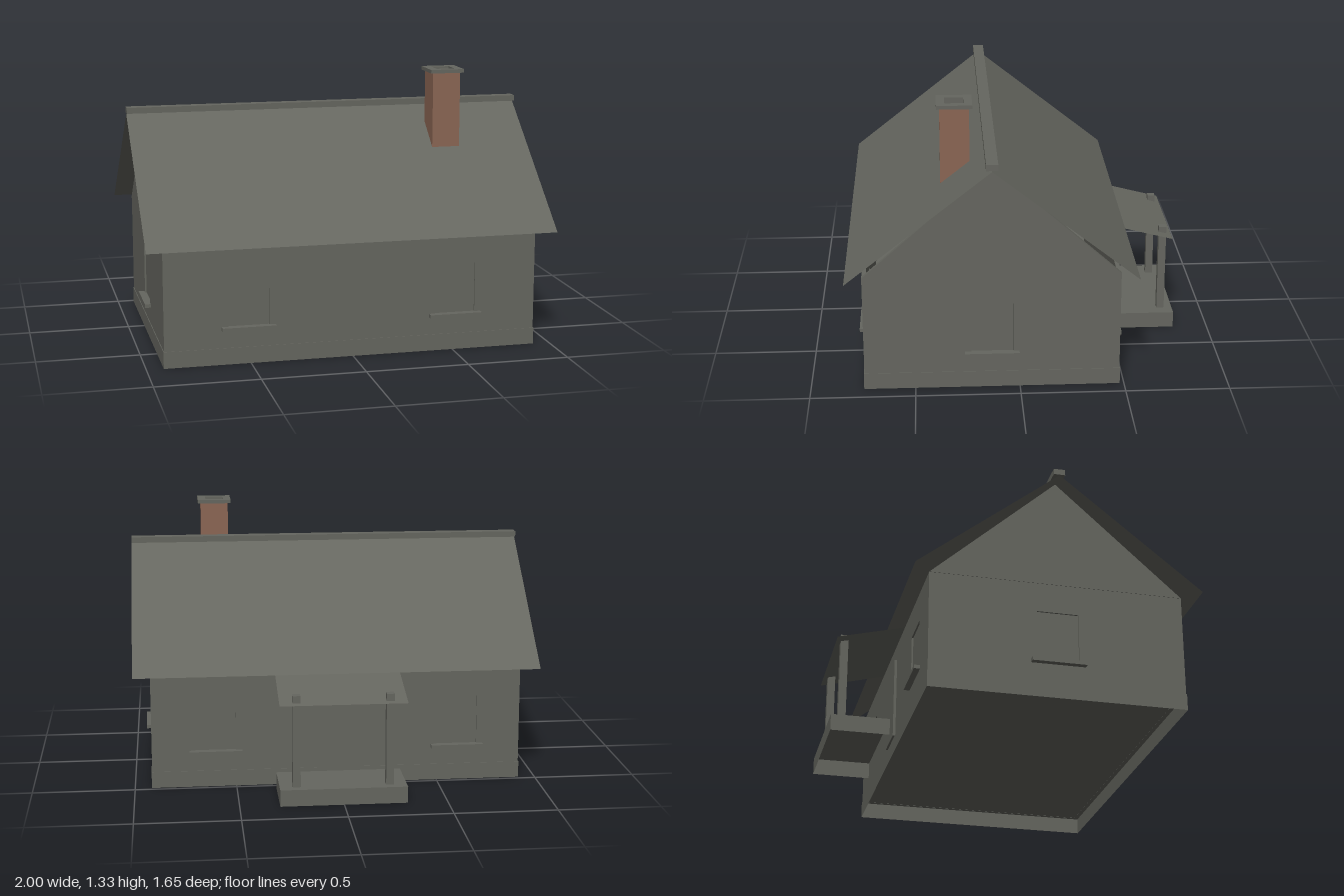
import * as THREE from 'three';

export function createModel() {
  const house = new THREE.Group();
  house.name = 'cottage';
  const stone = new THREE.MeshStandardMaterial({ color: 0x65665f, side: THREE.DoubleSide });
  stone.name = 'grey stone';
  const brick = new THREE.MeshStandardMaterial({ color: 0x8b6654 });
  brick.name = 'brown brick';

  const add = (name, geometry, material = stone, parent = house) => {
    const mesh = new THREE.Mesh(geometry, material);
    mesh.name = name;
    parent.add(mesh);
    return mesh;
  };

  // Box given by its extents on each axis
  const box = (name, [x0, x1], [y0, y1], [z0, z1], parent = house) => {
    const g = new THREE.BoxGeometry(x1 - x0, y1 - y0, z1 - z0);
    g.translate((x0 + x1) / 2, (y0 + y1) / 2, (z0 + z1) / 2);
    return add(name, g, stone, parent);
  };

  // Box without its bottom face
  const openBox = (name, x, y, z) => {
    const mesh = box(name, x, y, z);
    const index = Array.from(mesh.geometry.index.array);
    index.splice(18, 6);
    mesh.geometry.setIndex(index);
    mesh.geometry.clearGroups();
  };

  // Thin sheet sloping from a high edge to a low edge, facing up
  const sheet = (name, halfWidth, [zTop, yTop], [zLow, yLow]) => {
    const g = new THREE.PlaneGeometry(1, 1);
    const w = halfWidth * Math.sign(zLow - zTop);
    [[-w, yTop, zTop], [w, yTop, zTop], [-w, yLow, zLow], [w, yLow, zLow]]
      .forEach((p, i) => g.attributes.position.setXYZ(i, ...p));
    g.computeVertexNormals();
    add(name, g);
  };

  const points = (list) => list.map(([x, y]) => new THREE.Vector2(x, y));
  const rect = (x0, x1, y0, y1) => points([[x0, y0], [x1, y0], [x1, y1], [x0, y1]]);
  const slab = (outline, holes, depth) => {
    const shape = new THREE.Shape(outline);
    holes.forEach((h) => shape.holes.push(new THREE.Path(h)));
    return new THREE.ExtrudeGeometry(shape, { depth, bevelEnabled: false });
  };

  const midZ = 0.133, wallX = 0.915, front = 0.743, back = -0.477;
  const halfDepth = (front - back) / 2, thick = 0.02, eave = 0.575;

  // One wall with shallow window recesses, panes and projecting sills
  const addWall = (name, halfWidth, windows, x, z, turn) => {
    const wall = new THREE.Group();
    wall.name = name;
    const holes = windows.map((c) => rect(c - 0.1, c + 0.1, 0.185, 0.43));
    const g = slab(rect(-halfWidth, halfWidth, 0.08, eave), holes, thick);
    add('wallPanel', g.translate(0, 0, -thick), stone, wall);
    for (const c of windows) {
      box('windowPane', [c - 0.1, c + 0.1], [0.185, 0.43], [-0.015, -0.008], wall);
      box('windowSill', [c - 0.13, c + 0.13], [0.167, 0.185], [-0.008, 0.029], wall);
    }
    wall.position.set(x, 0, z);
    wall.rotation.y = turn;
    house.add(wall);
    return wall;
  };
  addWall('frontWall', wallX, [-0.51, 0.51], 0, front, 0);
  addWall('backWall', wallX, [-0.6, 0.6], 0, back, Math.PI);
  for (const s of [-1, 1]) {
    const wall = addWall('sideWall', halfDepth - thick, [0], s * wallX, midZ, s * Math.PI / 2);
    const triangle = points([[-halfDepth, eave], [halfDepth, eave], [0, 1.12]]);
    add('gable', slab(triangle, [], thick).translate(0, 0, 0.002 - thick), stone, wall);
  }
  openBox('plinth', [-0.918, 0.918], [0, 0.081], [back - 0.003, front + 0.003]);

  // Roof slopes and ridge
  sheet('frontRoof', 1, [midZ, 1.123], [0.823, 0.577]);
  sheet('backRoof', 1, [midZ, 1.123], [-0.557, 0.577]);
  box('ridge', [-1, 1], [1.127, 1.156], [0.105, 0.161]);

  // Chimney with a lined, hollow flue
  const chimney = new THREE.Group();
  chimney.name = 'chimney';
  chimney.position.set(0.57, 0, 0.296);
  house.add(chimney);
  const ring = (outer, inner, y0, y1) =>
    slab(rect(-outer, outer, -outer, outer), [rect(-inner, inner, -inner, inner)], y1 - y0)
      .rotateX(-Math.PI / 2).translate(0, y0, 0);
  add('chimneyShaft', ring(0.07, 0.048, 0.86, 1.31), brick, chimney);
  add('chimneyCap', ring(0.085, 0.045, 1.31, 1.328), stone, chimney);
  add('flueLining', ring(0.048, 0.045, 1.27, 1.31), stone, chimney);
  box('flueFloor', [-0.046, 0.046], [1.27, 1.28], [-0.046, 0.046], chimney);

  // Door and porch at the back
  box('door', [-0.1, 0.1], [0.081, 0.49], [-0.49, back]);
  openBox('porchStep', [-0.307, 0.307], [0, 0.081], [-0.825, -0.54]);
  sheet('porchCanopy', 0.307, [back, 0.575], [-0.808, 0.49]);
  for (const s of [-1, 1]) {
    const x = s * 0.225;
    box('porchPost', [x - 0.019, x + 0.019], [0.081, 0.532], [-0.784, -0.746]);
  }
  return house;
}
